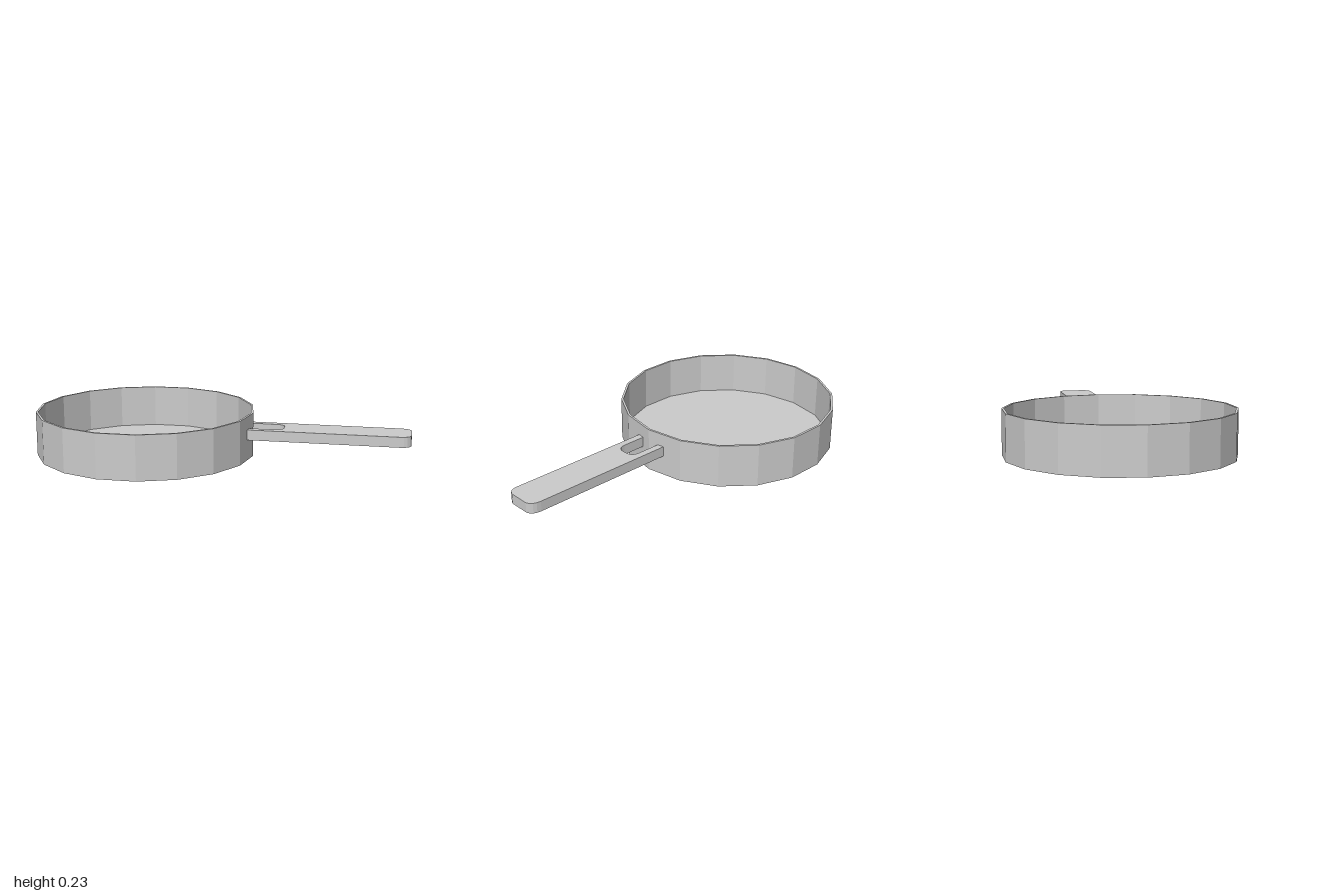
import * as THREE from 'three';

export function createModel() {
  const model = new THREE.Group();
  const material = new THREE.MeshStandardMaterial({ color: 0xcccccc, flatShading: true });

  // Open 18-sided pan: underside, outer wall, rim, inner wall and floor
  const R = 0.586, H = 0.235, wall = 0.012, floor = 0.005;
  const profile = [[0, 0], [R, 0], [R, H], [R - wall, H], [R - wall, floor], [0, floor]]
    .map(([x, y]) => new THREE.Vector2(x, y));
  const pan = new THREE.Mesh(new THREE.LatheGeometry(profile, 18, Math.PI / 2), material);
  pan.name = 'pan';
  pan.position.x = -0.414;
  model.add(pan);

  // Flat handle, forked where it meets the pan, with a rounded tip
  const w = 0.094, start = 0.155, slot = 0.057;
  const shape = new THREE.Shape();
  shape.moveTo(start, -w);
  shape.lineTo(0.94, -w);
  shape.quadraticCurveTo(0.99, -w, 1, -0.055);
  shape.lineTo(1, 0.055);
  shape.quadraticCurveTo(0.99, w, 0.94, w);
  shape.lineTo(start, w);
  shape.lineTo(start + 0.006, slot);
  shape.lineTo(0.29, slot);
  shape.quadraticCurveTo(0.33, slot, 0.338, 0.022);
  shape.lineTo(0.338, -0.022);
  shape.quadraticCurveTo(0.33, -slot, 0.29, -slot);
  shape.lineTo(start + 0.006, -slot);
  shape.closePath();
  const geometry = new THREE.ExtrudeGeometry(shape, { depth: 0.055, bevelEnabled: false, curveSegments: 4 });
  geometry.rotateX(-Math.PI / 2);
  const handle = new THREE.Mesh(geometry, material);
  handle.name = 'handle';
  handle.position.y = 0.11;
  model.add(handle);

  return model;
}
